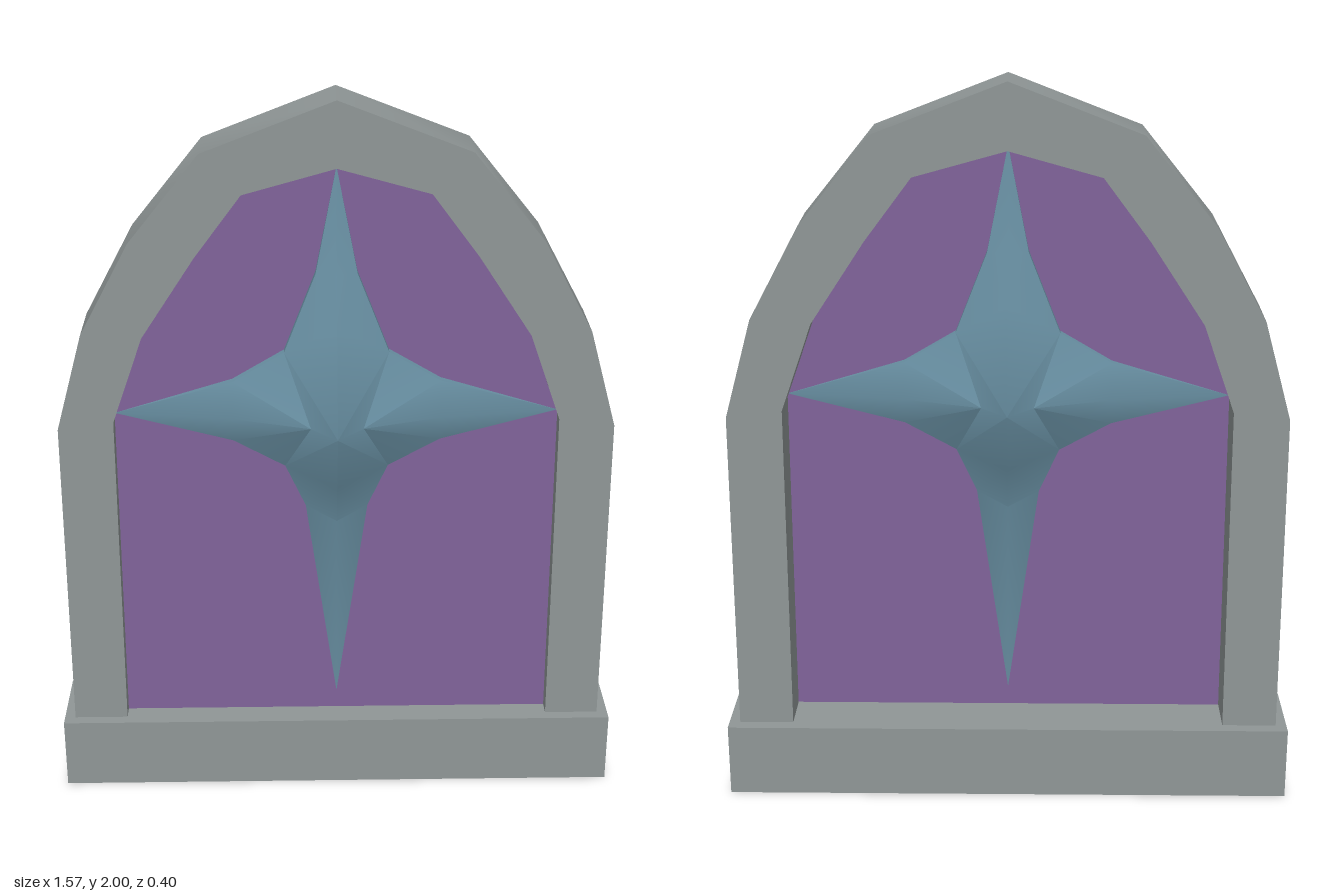
import * as THREE from 'three';
import { toCreasedNormals } from 'three/addons/utils/BufferGeometryUtils.js';

const stone = new THREE.MeshStandardMaterial({ color: 0x8f9696, name: 'stone' });
const glass = new THREE.MeshStandardMaterial({ color: 0x80639a, name: 'purpleGlass', side: THREE.DoubleSide });
const crystal = new THREE.MeshStandardMaterial({ color: 0x688fa2, name: 'blueCrystal' });

// Right halves of the arch outlines, from the sill to the apex
const outer = [[0.755, 0.19], [0.75, 1.11], [0.675, 1.38], [0.54, 1.63], [0.35, 1.865], [0, 2]];
const inner = [[0.605, 0.19], [0.6, 1.13], [0.515, 1.37], [0.37, 1.59], [0.245, 1.757], [0, 1.825]];

// Full arch from right foot over the apex to left foot
const arch = (half) => [...half, ...half.slice(0, -1).reverse().map(([x, y]) => [-x, y])]
  .map(([x, y]) => new THREE.Vector2(x, y));

function addMesh(group, name, geometry, material) {
  const mesh = new THREE.Mesh(geometry, material);
  mesh.name = name;
  group.add(mesh);
  return mesh;
}

// Four-pointed star: one octant described by ridge and rim points, mirrored in x and z
function starGeometry() {
  const rim = 0.025;
  const quadrant = (ridge, edge, corner, side, sideEdge) => {
    const c = [0, 1.14, 0.2];
    const [r1, r2, tip] = ridge, [s1, s2, sTip] = side;
    const [e1] = edge, [f1] = sideEdge;
    const tris = [
      [c, corner, r1], [r1, corner, e1], [r1, e1, r2], [r2, e1, tip],
      [c, s1, corner], [s1, f1, corner], [s1, s2, f1], [s2, sTip, f1],
    ];
    // Thin side walls from the rim back to the middle plane
    const path = [sTip, f1, corner, e1, tip];
    for (let i = 0; i < path.length - 1; i++) {
      const [a, b] = [path[i], path[i + 1]];
      const a0 = [a[0], a[1], 0], b0 = [b[0], b[1], 0];
      tris.push([a, a0, b0], [a, b0, b]);
    }
    return tris;
  };
  const side = [[0.07, 1.14, 0.122], [0.28, 1.14, 0.05], [0.6, 1.14, 0]];
  const upper = quadrant(
    [[0, 1.41, 0.09], [0, 1.54, 0.045], [0, 1.82, 0]],
    [[0.055, 1.54, rim]], [0.14, 1.32, rim], side, [[0.28, 1.237, rim]]);
  const lower = quadrant(
    [[0, 0.96, 0.108], [0, 0.83, 0.045], [0, 0.26, 0]],
    [[0.085, 0.87, rim]], [0.14, 0.99, rim], side, [[0.28, 1.067, rim]]);

  const positions = [];
  for (const [tris, down] of [[upper, false], [lower, true]]) {
    for (const sx of [1, -1]) for (const sz of [1, -1]) {
      const flip = (sx * sz < 0) !== down;
      for (const [a, b, c] of tris) {
        for (const p of flip ? [a, c, b] : [a, b, c]) positions.push(p[0] * sx, p[1], p[2] * sz);
      }
    }
  }
  const geometry = new THREE.BufferGeometry();
  geometry.setAttribute('position', new THREE.Float32BufferAttribute(positions, 3));
  return toCreasedNormals(geometry, 0.6);
}

export function createModel() {
  const model = new THREE.Group();
  model.name = 'archedWindow';

  // Stone sill
  addMesh(model, 'sill', new THREE.BoxGeometry(1.57, 0.205, 0.237), stone)
    .position.set(0, 0.1025, -0.0415);

  // Arched stone frame, open at the foot
  const frameShape = new THREE.Shape([...arch(outer), ...arch(inner).reverse()]);
  const frame = new THREE.ExtrudeGeometry(frameShape, { depth: 0.17, bevelEnabled: false });
  addMesh(model, 'frame', toCreasedNormals(frame, 0.6), stone).position.z = -0.125;

  // Glass pane in the middle plane
  addMesh(model, 'pane', new THREE.ShapeGeometry(new THREE.Shape(arch(inner))), glass);

  // Star standing out on both sides of the pane
  addMesh(model, 'star', starGeometry(), crystal);

  return model;
}
